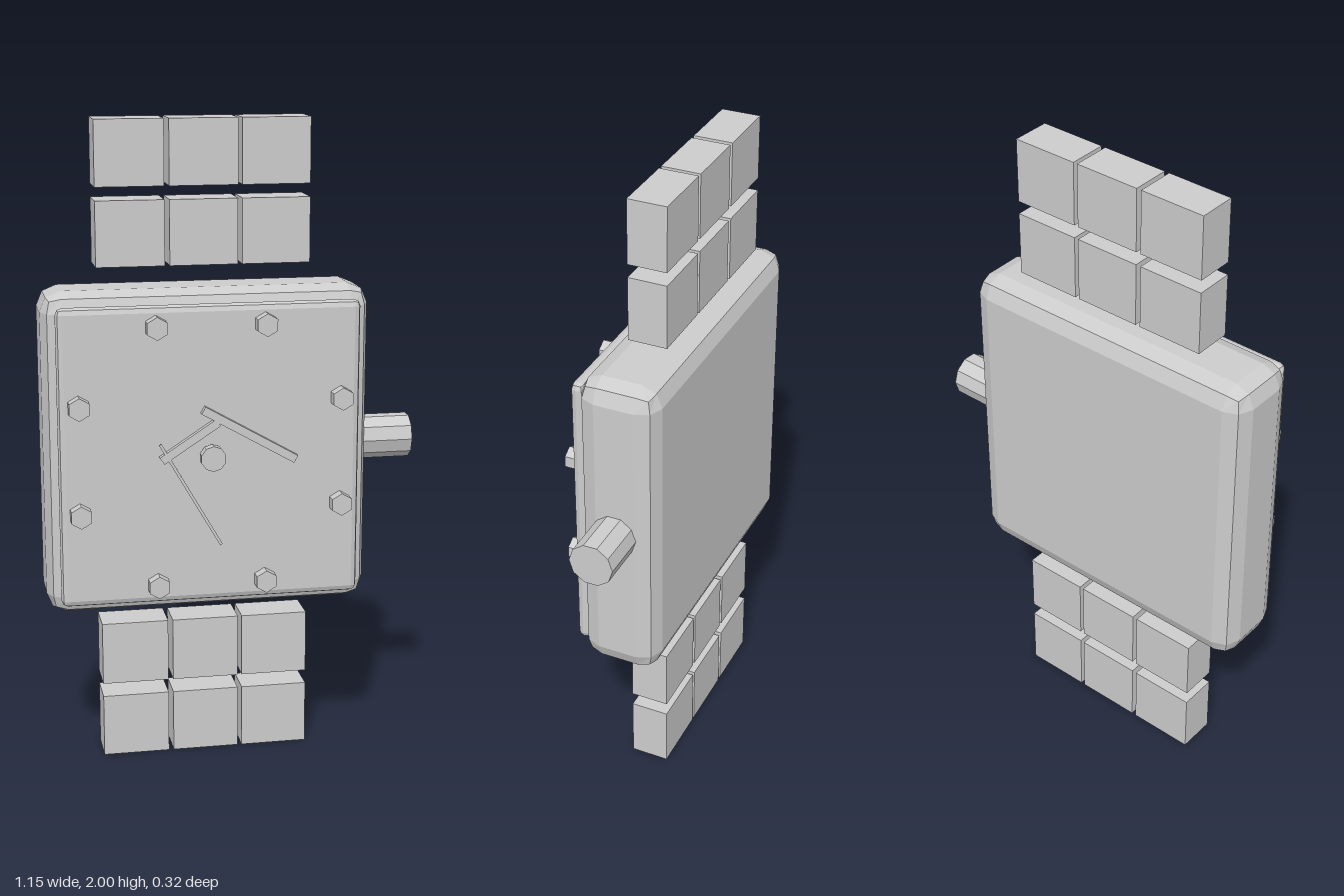
import * as THREE from 'three';
import { RoundedBoxGeometry } from 'three/addons/geometries/RoundedBoxGeometry.js';

export function createModel() {
  const watch = new THREE.Group();
  watch.name = 'wristWatch';
  const steel = new THREE.MeshStandardMaterial({ color: 0xcccccc, flatShading: true });
  steel.name = 'lightSteelGrey';

  const CX = -0.077, CY = 1.003; // centre of the dial

  function add(name, geometry, x, y, z) {
    const mesh = new THREE.Mesh(geometry, steel);
    mesh.name = name;
    mesh.position.set(x, y, z);
    watch.add(mesh);
    return mesh;
  }

  // Square case with softened edges, and the raised dial plate
  add('case', new RoundedBoxGeometry(0.998, 0.998, 0.247, 1, 0.062), CX, CY, -0.0405);
  add('dialPlate', new RoundedBoxGeometry(0.92, 0.92, 0.042, 1, 0.02), CX, CY, 0.094);

  // Eight hexagonal hour studs on a ring
  for (let i = 0; i < 8; i++) {
    const a = (i + 0.5) * Math.PI / 4;
    const stud = new THREE.CylinderGeometry(0.035, 0.035, 0.05, 6).rotateX(Math.PI / 2);
    add('hourStud', stud, CX + 0.432 * Math.cos(a), CY + 0.432 * Math.sin(a), 0.127);
  }

  // Centre hub
  add('hub', new THREE.CylinderGeometry(0.039, 0.039, 0.03, 10).rotateX(Math.PI / 2), CX, CY, 0.146);

  // Hands: thin bars between two points on the dial
  function hand(name, x1, y1, x2, y2, width, depth, z) {
    const length = Math.hypot(x2 - x1, y2 - y1);
    const bar = add(name, new THREE.BoxGeometry(length, width, depth), (x1 + x2) / 2, (y1 + y2) / 2, z);
    bar.rotation.z = Math.atan2(y2 - y1, x2 - x1);
  }
  hand('minuteHand', -0.103, 1.147, 0.181, 0.984, 0.025, 0.02, 0.125);
  hand('hourHand', -0.229, 0.996, -0.057, 1.108, 0.025, 0.018, 0.124);
  hand('secondHand', -0.235, 1.048, -0.05, 0.727, 0.009, 0.006, 0.134);

  // Winding crown
  add('crown', new THREE.CylinderGeometry(0.069, 0.069, 0.17, 10).rotateZ(Math.PI / 2), 0.49, CY, -0.038);

  // Bracelet: four rows of three links
  for (const y of [0.1, 0.341, 1.662, 1.9]) {
    for (const x of [-0.299, -0.076, 0.145]) {
      add('braceletLink', new THREE.BoxGeometry(0.208, 0.198, 0.12), x, y, -0.067);
    }
  }
  return watch;
}
